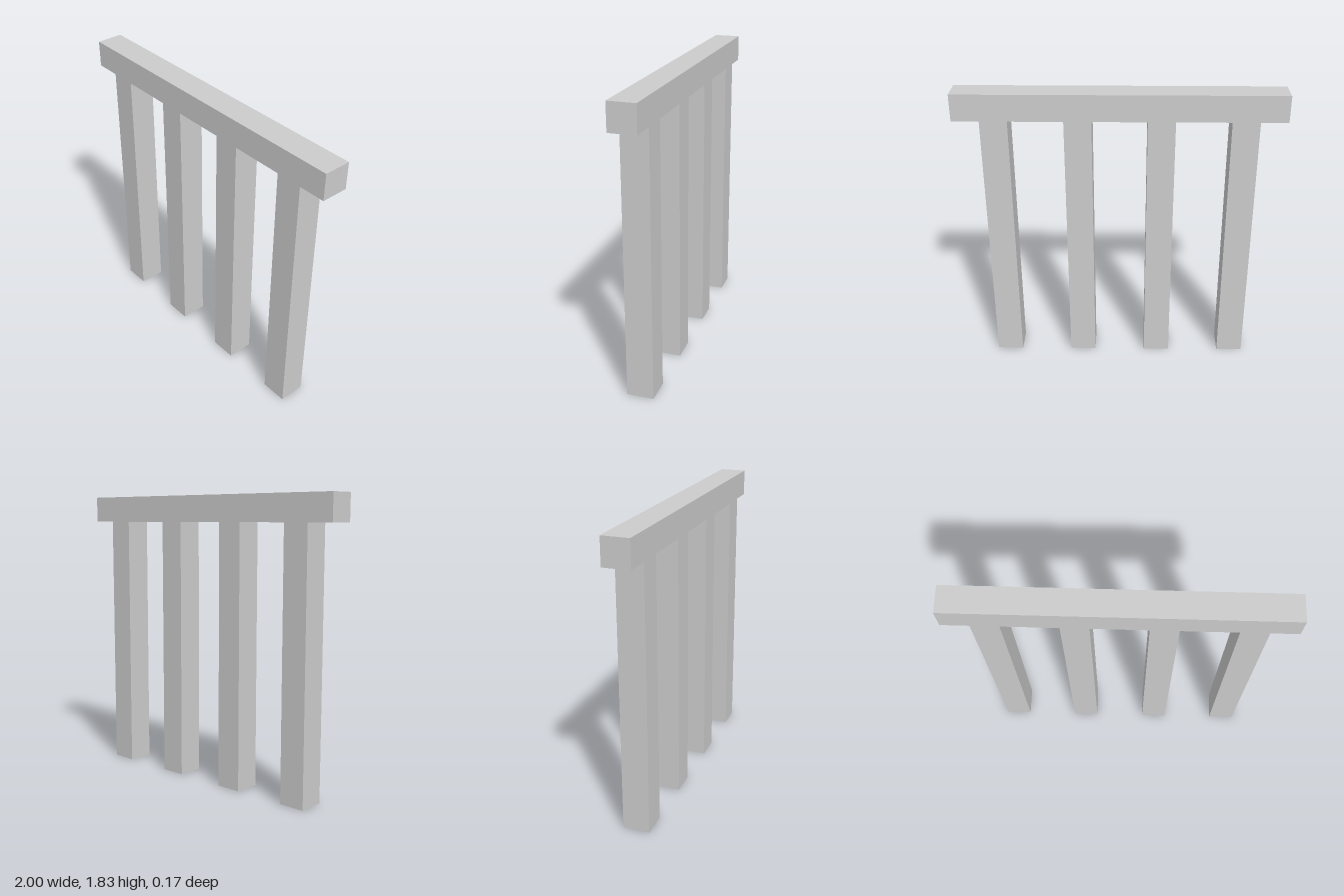
import * as THREE from 'three';

const UNIT = 1 / 6; // square section of every bar
const POST_HEIGHT = 10 * UNIT;

export function createModel() {
  const model = new THREE.Group();
  model.name = 'railing';
  const material = new THREE.MeshStandardMaterial({ color: 0xcccccc, flatShading: true });

  // Adds a square bar resting on height y
  const addBar = (name, width, height, x, y) => {
    const bar = new THREE.Mesh(new THREE.BoxGeometry(width, height, UNIT), material);
    bar.name = name;
    bar.position.set(x, y + height / 2, 0);
    model.add(bar);
  };

  // Horizontal top rail
  addBar('topRail', 2, UNIT, 0, POST_HEIGHT);

  // Four evenly spaced posts
  for (let i = 0; i < 4; i++) {
    addBar(`post${i + 1}`, UNIT, POST_HEIGHT, -0.75 + i * 0.5, 0);
  }

  return model;
}
